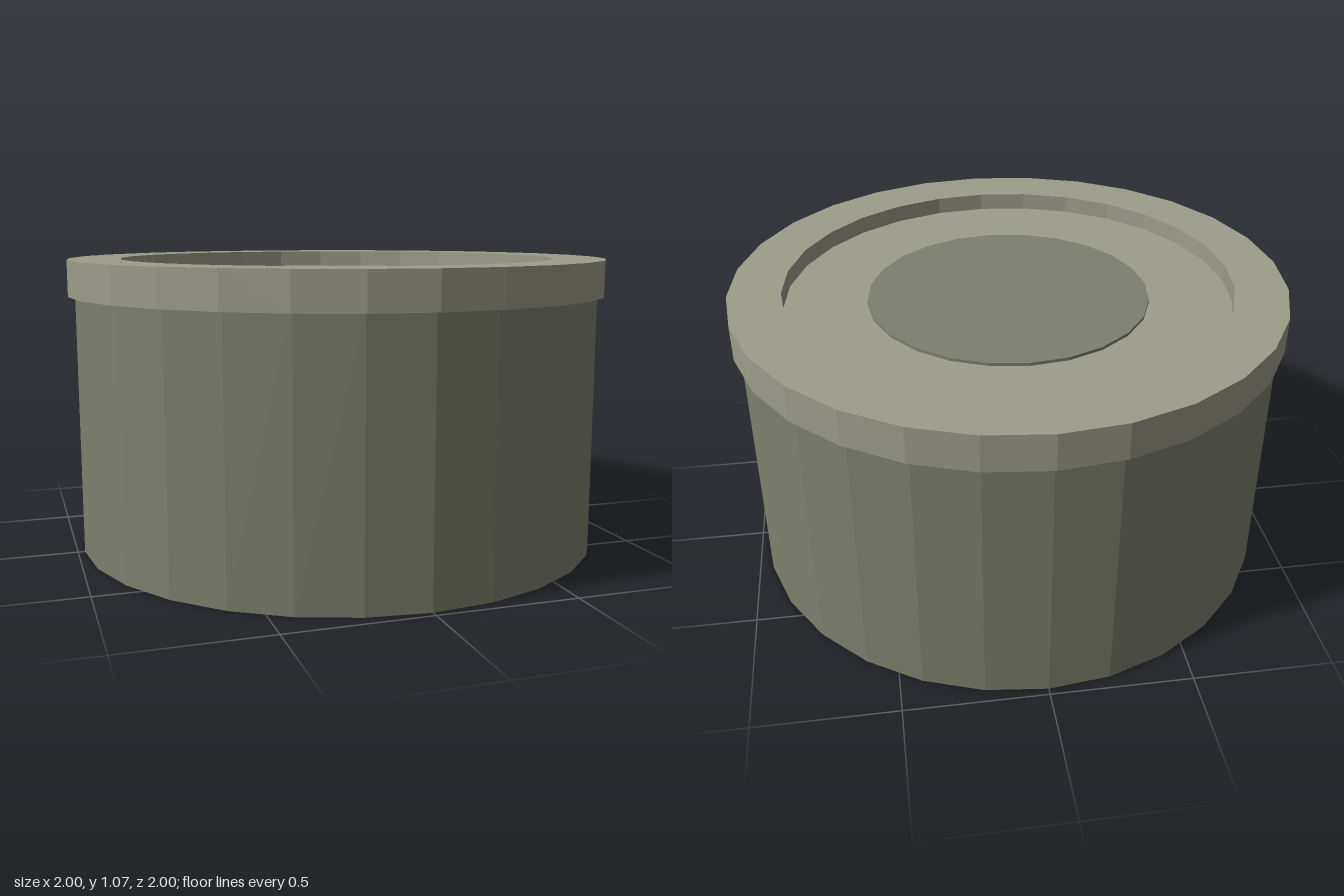
import * as THREE from 'three';

const SIDES = 28;

export function createModel() {
  const model = new THREE.Group();
  const bodyMaterial = new THREE.MeshStandardMaterial({ color: 0x7d806d, flatShading: true });
  const rimMaterial = new THREE.MeshStandardMaterial({ color: 0x9d9d8a, flatShading: true });

  const add = (name, geometry, material, y = 0) => {
    const mesh = new THREE.Mesh(geometry, material);
    mesh.name = name;
    mesh.position.y = y;
    model.add(mesh);
  };

  // Drum-shaped body
  add('body', new THREE.CylinderGeometry(0.975, 0.975, 0.96, SIDES), bodyMaterial, 0.48);

  // Overhanging rim with a shallow recessed floor
  const profile = [
    [0.9, 0.937], [1, 0.937], [1, 1.067], [0.81, 1.067], [0.81, 1.003], [0, 1.003],
  ].map(([r, y]) => new THREE.Vector2(r, y));
  add('rim', new THREE.LatheGeometry(profile, SIDES), rimMaterial);

  // Thin disc raised slightly above the recess
  add('centreDisc', new THREE.CylinderGeometry(0.51, 0.51, 0.02, 24), bodyMaterial, 1.004);

  return model;
}
